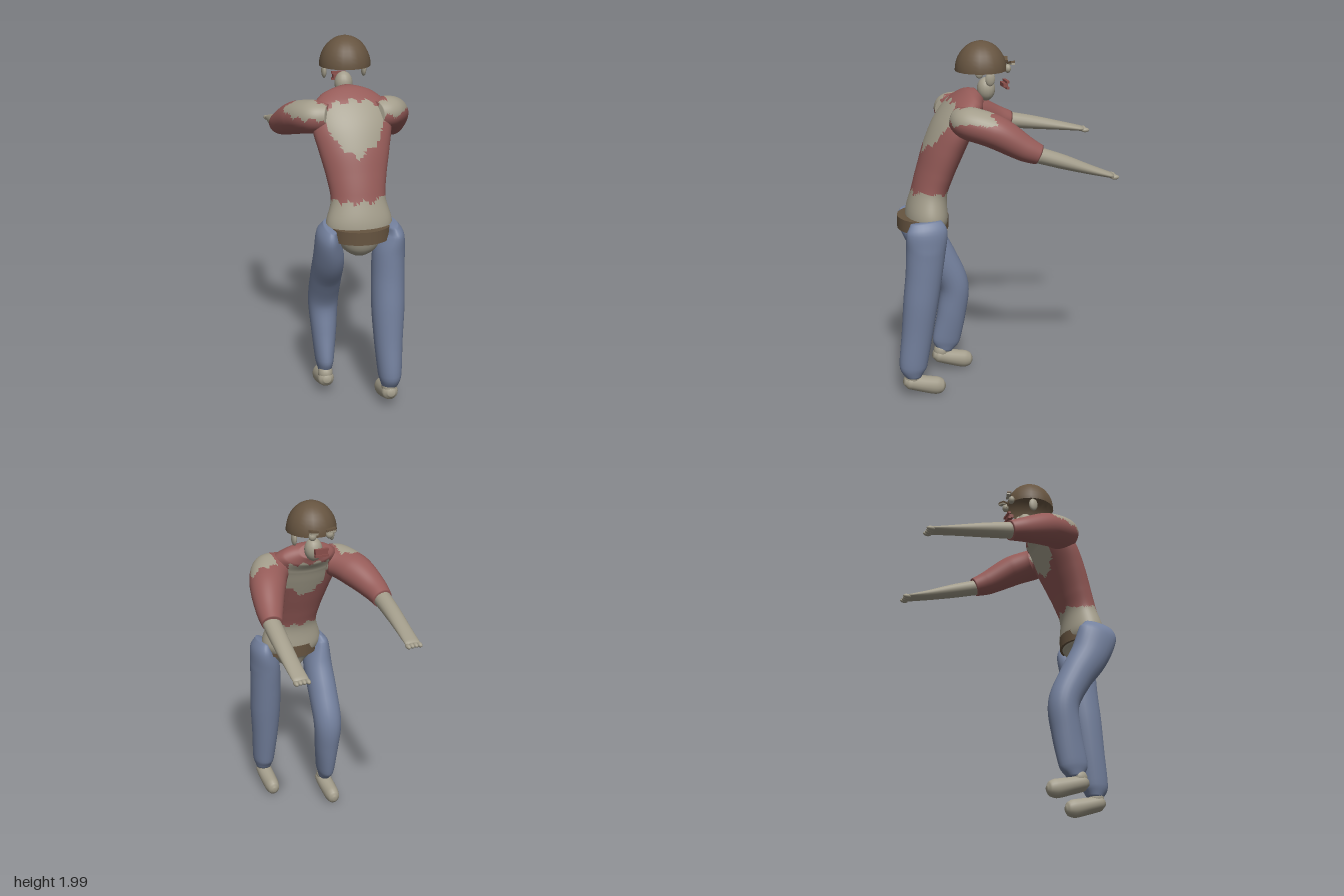
import * as THREE from 'three';

const mat = (name, color, side = THREE.FrontSide) => {
  const m = new THREE.MeshStandardMaterial({ color, side });
  m.name = name;
  return m;
};

// Closed smooth skin over elliptical rings [x, y, z, side radius, depth radius].
// rule(x, y, z) picks the material slot of each triangle.
function loft(rings, rows, seg, rule = () => 0) {
  const path = new THREE.CatmullRomCurve3(rings.map(r => new THREE.Vector3(r[0], r[1], r[2])));
  const size = new THREE.CatmullRomCurve3(rings.map(r => new THREE.Vector3(r[3], r[4], 0)));
  const pts = [];
  for (let i = 0; i <= rows; i++) {
    const t = i / rows, c = path.getPoint(t), s = size.getPoint(t), T = path.getTangent(t);
    const U = new THREE.Vector3(1, 0, 0).addScaledVector(T, -T.x).normalize();
    const V = new THREE.Vector3().crossVectors(T, U);
    for (let j = 0; j < seg; j++) {
      const a = j / seg * Math.PI * 2;
      pts.push(c.clone().addScaledVector(U, s.x * Math.cos(a)).addScaledVector(V, s.y * Math.sin(a)));
    }
  }
  const first = pts.push(path.getPoint(0)) - 1, last = pts.push(path.getPoint(1)) - 1;
  const slots = [[], []];
  const tri = (a, b, c) => {
    const m = pts[a].clone().add(pts[b]).add(pts[c]).divideScalar(3);
    slots[rule(m.x, m.y, m.z)].push(a, b, c);
  };
  for (let j = 0; j < seg; j++) {
    const k = (j + 1) % seg, end = rows * seg;
    tri(first, k, j);
    tri(last, end + j, end + k);
    for (let i = 0; i < rows; i++) {
      const p = i * seg, q = p + seg;
      tri(p + j, p + k, q + j);
      tri(p + k, q + k, q + j);
    }
  }
  const g = new THREE.BufferGeometry().setFromPoints(pts);
  g.setIndex([...slots[0], ...slots[1]]);
  g.addGroup(0, slots[0].length, 0);
  g.addGroup(slots[0].length, slots[1].length, 1);
  g.computeVertexNormals();
  return g;
}

// Torn shirt: slot 1 is bare skin (waist, shoulder yoke, back and chest holes)
function torn(x, y, z) {
  const ax = Math.abs(x), jag = 0.012 * Math.sin(x * 75 + z * 40);
  if (y < 1.19 + jag) return 1;
  const low = ax < 0.1 ? 1.41 + ax * 0.6 : ax < 0.17 ? 1.47 + (ax - 0.1) * 1.8 : 1.6;
  const spine = 0.33 - (y - 1.4) * 0.5;
  if (z < spine && ax < 0.19) return ax < 0.12 && y > low + jag && y < 1.64 + jag ? 1 : 0;
  const front = ax < 0.19 ? 0.28 : 0.12;
  return y > low + jag && z > front + jag && ax < 0.34 ? 1 : 0;
}

export function createModel() {
  const model = new THREE.Group();
  model.name = 'shamblingFigure';
  const skin = mat('skin', 0xa39d8b), shirt = mat('shirt', 0x955b58), jeans = mat('jeans', 0x74819e);
  const brown = mat('brown', 0x665440, THREE.DoubleSide), red = mat('mouthRed', 0x8a4f4b);
  const add = (name, geo, material, pos = [0, 0, 0], scale = [1, 1, 1], rot = [0, 0, 0]) => {
    const m = new THREE.Mesh(geo, material);
    m.name = name;
    m.position.set(...pos);
    m.scale.set(...scale);
    m.rotation.set(...rot);
    model.add(m);
    return m;
  };
  const ball = new THREE.SphereGeometry(1, 16, 12);

  // Torso leaning toward -z
  add('torso', loft([
    [0, 0.88, 0.39, 0.03, 0.04], [0, 0.95, 0.42, 0.12, 0.1], [0, 1.05, 0.425, 0.18, 0.115],
    [0, 1.19, 0.405, 0.148, 0.097], [0, 1.3, 0.37, 0.163, 0.1], [0, 1.42, 0.325, 0.19, 0.105],
    [0, 1.54, 0.27, 0.215, 0.1], [0, 1.63, 0.215, 0.21, 0.085], [0, 1.685, 0.155, 0.15, 0.068],
    [0, 1.71, 0.12, 0.06, 0.04]], 72, 56, torn), [shirt, skin]);

  // Belt
  add('belt', new THREE.CylinderGeometry(0.142, 0.142, 0.07, 24), brown, [0, 1.015, 0.446], [1.15, 1, 1]);

  // Arms: sleeve and bare forearm per side, at different heights
  const arms = [
    { name: 'left',
      sleeve: [[0.12, 1.6, 0.27, 0.07, 0.07], [0.2, 1.592, 0.215, 0.105, 0.09], [0.26, 1.555, 0.1, 0.1, 0.09],
        [0.307, 1.465, -0.05, 0.073, 0.07], [0.323, 1.43, -0.125, 0.056, 0.055]],
      fore: [[0.323, 1.435, -0.1, 0.05, 0.045], [0.328, 1.385, -0.25, 0.049, 0.04],
        [0.33, 1.325, -0.42, 0.045, 0.025], [0.328, 1.285, -0.54, 0.044, 0.014]] },
    { name: 'right',
      sleeve: [[-0.12, 1.6, 0.27, 0.07, 0.07], [-0.2, 1.592, 0.215, 0.105, 0.09], [-0.26, 1.565, 0.1, 0.1, 0.09],
        [-0.31, 1.505, -0.05, 0.073, 0.07], [-0.318, 1.475, -0.145, 0.056, 0.055]],
      fore: [[-0.318, 1.48, -0.12, 0.05, 0.048], [-0.307, 1.455, -0.28, 0.047, 0.04],
        [-0.29, 1.425, -0.46, 0.043, 0.025], [-0.278, 1.402, -0.59, 0.042, 0.014]] },
  ];
  for (const { name, sleeve, fore } of arms) {
    add(name + 'Sleeve', loft(sleeve, 48, 40, torn), [shirt, skin]);
    add(name + 'Forearm', loft(fore, 16, 20), skin);
    const [x, y, z] = fore[3];
    for (let i = 0; i < 4; i++) {
      add(name + 'Finger', ball, skin, [x - 0.033 + i * 0.022, y - 0.004, z - 0.008 + (i % 3 ? 0.004 : 0)], [0.013, 0.013, 0.024]);
    }
  }

  // Legs: straight trailing left leg, bent leading right leg
  add('leftLeg', loft([
    [0.165, 1.055, 0.465, 0.03, 0.085], [0.175, 1.0, 0.462, 0.058, 0.113], [0.155, 0.9, 0.465, 0.086, 0.11],
    [0.148, 0.75, 0.478, 0.09, 0.102], [0.145, 0.6, 0.497, 0.09, 0.098], [0.143, 0.4, 0.522, 0.078, 0.088],
    [0.146, 0.2, 0.55, 0.063, 0.078], [0.146, 0.14, 0.55, 0.045, 0.045]], 40, 24), jeans);
  add('rightLeg', loft([
    [-0.165, 1.055, 0.455, 0.03, 0.085], [-0.175, 1.0, 0.445, 0.058, 0.115], [-0.16, 0.87, 0.4, 0.082, 0.11],
    [-0.156, 0.72, 0.31, 0.085, 0.095], [-0.156, 0.55, 0.235, 0.083, 0.087], [-0.156, 0.38, 0.25, 0.07, 0.085],
    [-0.16, 0.2, 0.285, 0.05, 0.082], [-0.16, 0.14, 0.295, 0.035, 0.045]], 40, 24), jeans);

  // Feet
  for (const [name, x, z] of [['leftFoot', 0.142, 0], ['rightFoot', -0.162, -0.24]]) {
    add(name, loft([
      [x, 0.115, 0.605 + z, 0.02, 0.02], [x, 0.11, 0.575 + z, 0.045, 0.044], [x, 0.09, 0.51 + z, 0.047, 0.047],
      [x, 0.065, 0.42 + z, 0.044, 0.052], [x, 0.058, 0.382 + z, 0.034, 0.04], [x, 0.056, 0.366 + z, 0.012, 0.016]], 24, 18), skin);
    add(name + 'Ankle', ball, skin, [x, 0.135, 0.555 + z], [0.042, 0.05, 0.045]);
  }

  // Neck stump and open hair cap
  add('neck', ball, skin, [0, 1.735, 0.078], [0.05, 0.065, 0.05]);
  add('hairCap', new THREE.SphereGeometry(1, 20, 10, 0, Math.PI * 2, 0, Math.PI / 2), brown, [0, 1.84, 0.107], [0.139, 0.16, 0.142]);

  // Face pieces floating under the cap
  for (const s of [-1, 1]) {
    add('ear', ball, skin, [s * 0.11, 1.81, 0.085], [0.014, 0.04, 0.027]);
    add('eye', ball, skin, [s * 0.05, 1.85, -0.03], [0.022, 0.024, 0.018]);
    add('eyebrow', new THREE.BoxGeometry(0.052, 0.012, 0.025), brown, [s * 0.05, 1.882, -0.047], [1, 1, 1], [0, s * 0.25, s * 0.25]);
    add('eyelid', new THREE.BoxGeometry(0.046, 0.01, 0.022), skin, [s * 0.05, 1.872, -0.05], [1, 1, 1], [0, s * 0.25, s * 0.2]);
  }
  add('mouth', new THREE.BoxGeometry(0.07, 0.022, 0.026), red, [0, 1.753, -0.025]);
  for (const y of [1.771, 1.737]) add('lip', new THREE.BoxGeometry(0.08, 0.012, 0.016), red, [0, y, -0.037]);
  return model;
}
